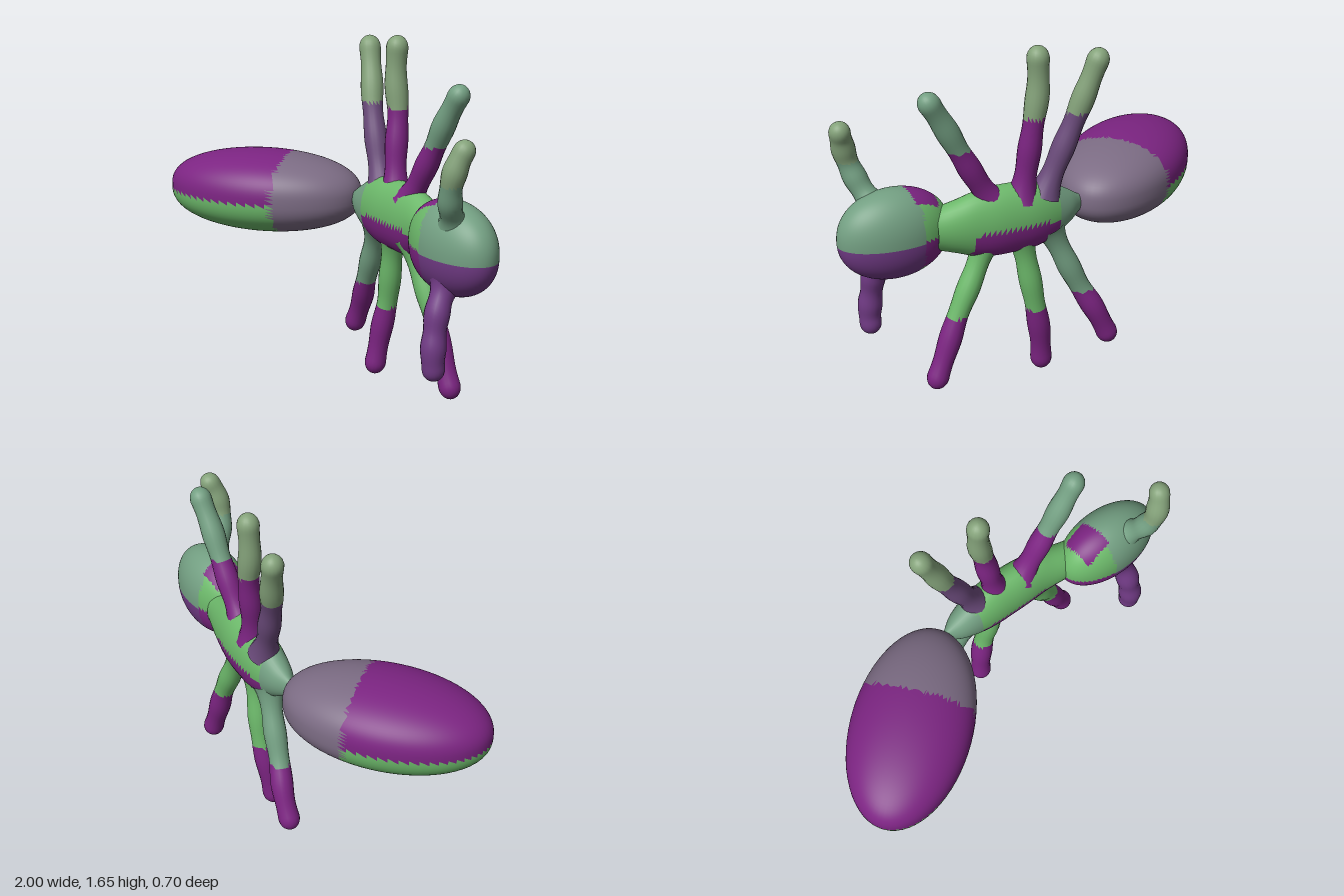
import * as THREE from 'three';
import { mergeVertices } from 'three/addons/utils/BufferGeometryUtils.js';

const PURPLE = 0x7c2482, PLUM = 0x703a84, GREEN = 0x6cb86a, SAGE = 0x739f82, OLIVE = 0x84a27a, MAUVE = 0x7c6c84, VIOLET = 0x6a4a7a;
const V = (p) => new THREE.Vector3(...p);

// Smooth skin swept along a curve; radii(t) gives [across, along up]
function loft(points, up, radii, rings, sides) {
  const curve = new THREE.CatmullRomCurve3(points.map(V));
  const pos = [], index = [];
  for (let i = 0; i <= rings; i++) {
    const t = (1 - Math.cos((Math.PI * i) / rings)) / 2;
    const c = curve.getPointAt(t), T = curve.getTangentAt(t);
    const u = up.clone().cross(T).normalize(), v = T.clone().cross(u);
    const [a, b] = radii(t);
    for (let j = 0; j < sides; j++) {
      const w = (j / sides) * Math.PI * 2;
      const p = c.clone().addScaledVector(u, a * Math.cos(w)).addScaledVector(v, b * Math.sin(w));
      pos.push(p.x, p.y, p.z);
      if (i === rings) continue;
      const k = (j + 1) % sides, r = i * sides, n = r + sides;
      index.push(r + j, r + k, n + j, r + k, n + k, n + j);
    }
  }
  const g = new THREE.BufferGeometry();
  g.setAttribute('position', new THREE.Float32BufferAttribute(pos, 3));
  g.setIndex(index);
  g.computeVertexNormals();
  return g;
}

// Ellipsoid with an optional fuller vertical profile
function ellipsoid(radii, center, turn, power) {
  let g = new THREE.SphereGeometry(1, 64, 48);
  g.deleteAttribute('uv');
  g.deleteAttribute('normal');
  const p = g.attributes.position;
  for (let i = 0; i < p.count; i++) {
    const y = p.getY(i);
    p.setY(i, Math.sign(y) * Math.abs(y) ** power);
  }
  g.scale(...radii).rotateY(turn).translate(...center);
  g = mergeVertices(g, 1e-5);
  g.computeVertexNormals();
  return g;
}

// Divide a skin into one mesh per colour, chosen at each triangle's centre
function painted(name, geometry, colorAt) {
  const group = new THREE.Group();
  group.name = name;
  const flat = geometry.toNonIndexed();
  const pos = flat.attributes.position, nor = flat.attributes.normal;
  const patches = new Map();
  for (let i = 0; i < pos.count; i += 3) {
    const c = new THREE.Vector3();
    for (let k = 0; k < 3; k++) c.add(new THREE.Vector3().fromBufferAttribute(pos, i + k));
    const color = colorAt(c.divideScalar(3));
    if (!patches.has(color)) patches.set(color, { p: [], n: [] });
    const patch = patches.get(color);
    for (let k = i; k < i + 3; k++) {
      patch.p.push(pos.getX(k), pos.getY(k), pos.getZ(k));
      patch.n.push(nor.getX(k), nor.getY(k), nor.getZ(k));
    }
  }
  for (const [color, { p, n }] of patches) {
    const g = new THREE.BufferGeometry();
    g.setAttribute('position', new THREE.Float32BufferAttribute(p, 3));
    g.setAttribute('normal', new THREE.Float32BufferAttribute(n, 3));
    const mesh = new THREE.Mesh(g, new THREE.MeshStandardMaterial({ color }));
    mesh.name = `${name}Patch${group.children.length + 1}`;
    group.add(mesh);
  }
  return group;
}

// Limb: flared root, gently swollen segments, rounded tip
function limb(name, points, radius, colorAt) {
  const length = new THREE.CatmullRomCurve3(points.map(V)).getLength();
  const radii = (t) => {
    const fromTip = ((1 - t) * length) / (radius * 1.3);
    const cap = fromTip < 1 ? Math.sqrt(Math.max(1e-6, 1 - (1 - fromTip) ** 2)) : 1;
    const r = radius * cap * (1 + 0.06 * Math.cos(t * 19) + 0.5 * Math.exp(-t * 14));
    return [r, r];
  };
  return painted(name, loft(points, new THREE.Vector3(0, 0, 1), radii, 48, 18), colorAt);
}

// Radius interpolated smoothly through evenly spaced values
function profile(values) {
  const c = new THREE.SplineCurve(values.map((v, i) => new THREE.Vector2(i, v)));
  return (t) => Math.max(0.001, c.getPoint(t).y);
}

export function createModel() {
  const model = new THREE.Group();
  model.name = 'ant';

  // Abdomen, swung forward at its tail end
  const turn = 0.515, ax = -0.555;
  model.add(painted('abdomen', ellipsoid([0.486, 0.195, 0.281], [ax, 0.83, 0], turn, 0.8), (c) => {
    const along = (c.x - ax) * Math.cos(turn) - c.z * Math.sin(turn);
    if (along > 0.12) return MAUVE;
    return c.y > 0.82 ? PURPLE : GREEN;
  }));

  // Thorax
  const wide = profile([0.01, 0.06, 0.085, 0.098, 0.1, 0.098, 0.09, 0.085, 0.08]);
  const tall = profile([0.03, 0.085, 0.14, 0.165, 0.168, 0.168, 0.155, 0.125, 0.1]);
  const spine = [[-0.15, 0.83, -0.2], [0, 0.83, -0.185], [0.2, 0.83, -0.155], [0.4, 0.83, -0.11], [0.57, 0.83, -0.05]];
  model.add(painted('thorax', loft(spine, new THREE.Vector3(0, 1, 0), (t) => [wide(t), tall(t)], 48, 32), (c) => {
    if (c.x < 0.02) return SAGE;
    return c.y < 0.81 && c.x < 0.44 ? PURPLE : GREEN;
  }));

  // Head
  model.add(painted('head', ellipsoid([0.262, 0.212, 0.15], [0.738, 0.832, 0.025], -0.17, 0.9), (c) => {
    const crown = c.y > 0.95 && c.x > 0.55 && c.x < 0.68 && Math.abs(c.z) < 0.08;
    if (crown) return PURPLE;
    if (c.x < 0.66) return c.y < 0.82 && c.y > 0.68 ? PURPLE : GREEN;
    return c.y < 0.81 ? PLUM : SAGE;
  }));

  // Antennae
  model.add(limb('upperAntenna',
    [[0.8, 0.96, 0.09], [0.84, 1.07, 0.155], [0.87, 1.17, 0.18], [0.895, 1.26, 0.17], [0.925, 1.355, 0.135]],
    0.051, (c) => (c.y > 1.16 ? OLIVE : SAGE)));
  model.add(limb('lowerAntenna',
    [[0.765, 0.7, 0.09], [0.775, 0.59, 0.15], [0.78, 0.48, 0.175], [0.785, 0.38, 0.187], [0.785, 0.27, 0.178]],
    0.054, () => PLUM));

  // Legs: path from root to tip, joint height, root colour, tip colour
  const legs = [
    ['upperRearLeg', [[0.07, 0.92, -0.19], [0.01, 1.08, -0.215], [-0.06, 1.28, -0.25], [-0.1, 1.42, -0.28], [-0.155, 1.605, -0.315]], 1.31, VIOLET, OLIVE],
    ['upperMiddleLeg', [[0.18, 0.92, -0.17], [0.16, 1.1, -0.19], [0.145, 1.3, -0.215], [0.125, 1.45, -0.22], [0.13, 1.65, -0.225]], 1.32, PURPLE, OLIVE],
    ['upperFrontLeg', [[0.31, 0.92, -0.13], [0.39, 1.05, -0.125], [0.48, 1.21, -0.12], [0.55, 1.34, -0.115], [0.65, 1.505, -0.115]], 1.21, PURPLE, SAGE],
    ['lowerRearLeg', [[0.04, 0.75, -0.19], [-0.02, 0.6, -0.22], [-0.1, 0.42, -0.25], [-0.17, 0.28, -0.285], [-0.25, 0.11, -0.3]], 0.41, SAGE, PURPLE],
    ['lowerMiddleLeg', [[0.18, 0.75, -0.16], [0.15, 0.57, -0.175], [0.115, 0.37, -0.185], [0.08, 0.2, -0.175], [0.055, 0, -0.155]], 0.35, GREEN, PURPLE],
    ['lowerFrontLeg', [[0.34, 0.75, -0.12], [0.41, 0.59, -0.12], [0.5, 0.4, -0.115], [0.555, 0.25, -0.11], [0.63, 0.055, -0.105]], 0.4, GREEN, PURPLE],
  ];
  for (const [name, path, joint, rootColor, tipColor] of legs) {
    const upward = path[4][1] > 0.83;
    model.add(limb(name, path, 0.051, (c) => (c.y > joint === upward ? tipColor : rootColor)));
  }
  return model;
}
